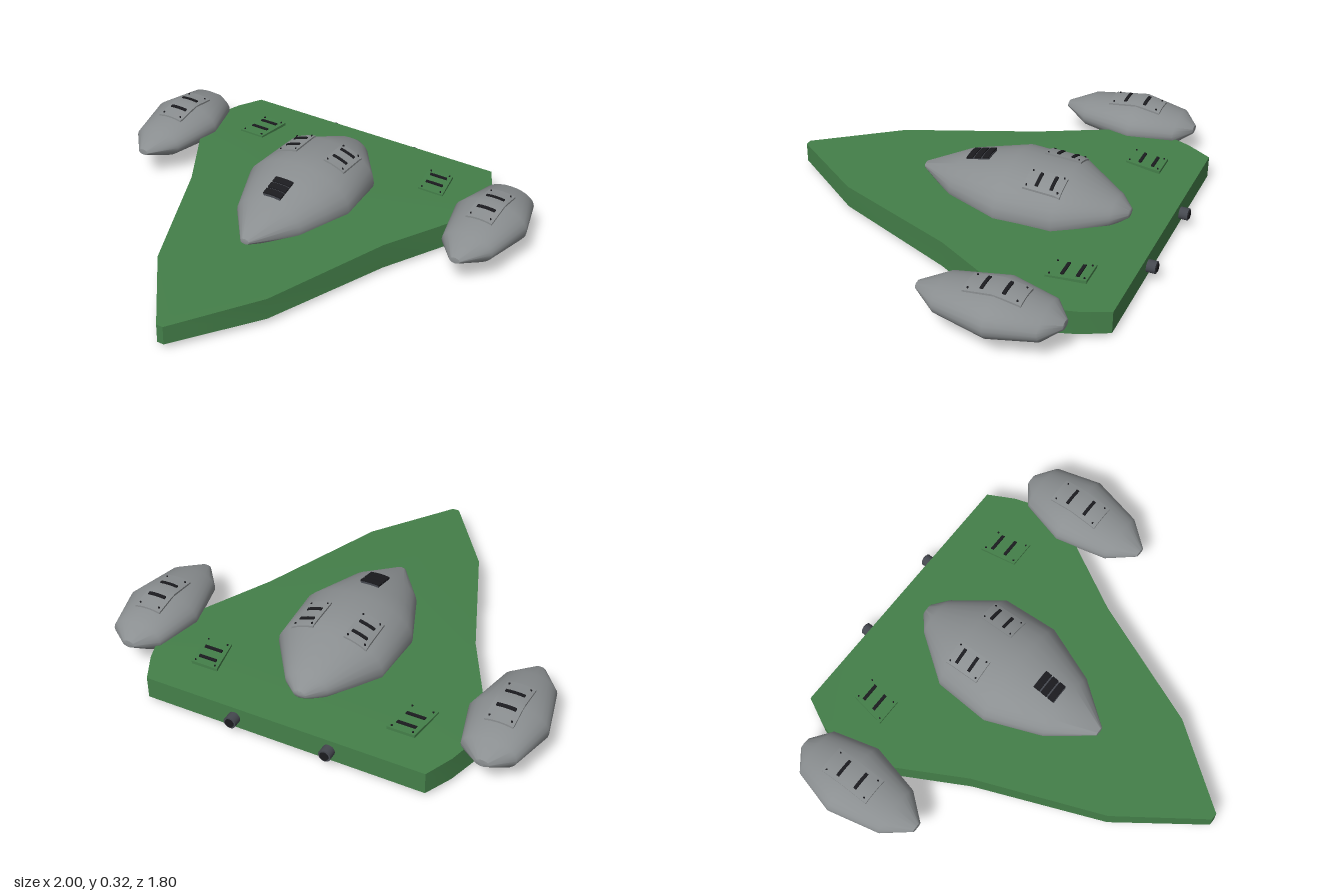
import * as THREE from 'three';
import { toCreasedNormals } from 'three/addons/utils/BufferGeometryUtils.js';

const mat = (name, color) => new THREE.MeshStandardMaterial({ name, color });

// Bodies are flattened lathes lying along z: [radius, z] from tail to nose
const DOME = { cx: 0, cy: 0.16, flat: 0.6,
  profile: [[0, -0.705], [0.03, -0.7], [0.1, -0.64], [0.25, -0.43], [0.265, -0.17], [0.218, -0.05], [0.165, 0.085], [0.022, 0.275], [0, 0.278]] };
const POD = { cx: 0.825, cy: 0.15, flat: 0.56,
  profile: [[0, -0.732], [0.03, -0.73], [0.12, -0.66], [0.175, -0.455], [0.12, -0.215], [0.025, -0.097], [0, -0.095]] };

// Height of a body's upper surface at (x, z)
function bodyTop({ cx, cy, flat, profile }) {
  return (x, z) => {
    const i = Math.max(1, profile.findIndex((p) => p[1] >= z));
    const [r0, z0] = profile[i - 1], [r1, z1] = profile[i];
    const r = r0 + (r1 - r0) * (z - z0) / (z1 - z0);
    return cy + flat * Math.sqrt(Math.max(0, r * r - (x - cx) ** 2));
  };
}

export function createModel() {
  const green = mat('hullGreen', 0x447f49);
  const grey = mat('bodyGrey', 0x8b8f91);
  const dark = mat('ventBlack', 0x1b1b1f);
  const metal = mat('exhaustMetal', 0x45484f);
  const model = new THREE.Group();
  model.name = 'deltaCraft';

  const add = (parent, name, geo, material) => {
    const mesh = new THREE.Mesh(geo, material);
    mesh.name = name;
    parent.add(mesh);
    return mesh;
  };

  // Delta hull: [x, z, top y, bottom y] along one side, nose to tail
  const side = [
    [0.016, 0.9, 0.12, 0.03], [0.28, 0.53, 0.13, 0.026], [0.51, -0.05, 0.14, 0.018],
    [0.77, -0.53, 0.137, 0.018], [0.705, -0.74, 0.131, 0.021], [0.645, -0.86, 0.126, 0.023],
  ];
  const outline = [...side, ...side.map(([x, ...rest]) => [-x, ...rest]).reverse()];
  const verts = [];
  outline.forEach(([x, z, t, b], i) => {
    const [x2, z2, t2, b2] = outline[(i + 1) % outline.length];
    verts.push(0, 0.148, -0.17, x, t, z, x2, t2, z2);
    verts.push(0, 0.011, -0.17, x2, b2, z2, x, b, z);
    verts.push(x, t, z, x, b, z, x2, b2, z2, x, t, z, x2, b2, z2, x2, t2, z2);
  });
  const hull = new THREE.BufferGeometry();
  hull.setAttribute('position', new THREE.Float32BufferAttribute(verts, 3));
  add(model, 'hull', toCreasedNormals(hull, 0.3), green);

  // Central dome and side pods
  const body = (name, { cx, cy, flat, profile }, sign) => {
    const geo = new THREE.LatheGeometry(profile.map((p) => new THREE.Vector2(...p)), 28);
    geo.rotateX(Math.PI / 2).scale(1, flat, 1).translate(cx * sign, cy, 0);
    add(model, name, toCreasedNormals(geo, 0.7), grey);
  };
  body('centralDome', DOME, 1);
  body('leftPod', POD, 1);
  body('rightPod', POD, -1);

  // Hatch panel that follows the surface below, with vent bars and corner bolts
  function panel(name, { x, z, w, l, top, base, shear = 0, bars, barW, barL = 0.014, bolts = true }, sign = 1) {
    const group = new THREE.Group();
    group.name = name;
    const fit = (geo, px, py, pz) => {
      geo.translate(px, py, pz);
      const p = geo.attributes.position;
      for (let i = 0; i < p.count; i++) {
        const vx = x + p.getX(i) + shear * p.getZ(i), vz = z + p.getZ(i);
        p.setXYZ(i, vx, p.getY(i) + top(vx, vz), vz);
      }
      if (sign < 0) {
        // Mirror across the centre line and restore the face order
        geo.scale(-1, 1, 1);
        const a = geo.index.array;
        for (let i = 0; i < a.length; i += 3) [a[i], a[i + 1]] = [a[i + 1], a[i]];
      }
      geo.computeVertexNormals();
      return geo;
    };
    add(group, 'plate', fit(new THREE.BoxGeometry(w, 0.014, l, 6, 1, 6), 0, 0.001, 0), base);
    for (const b of bars) {
      add(group, 'ventBar', fit(new THREE.BoxGeometry(barW, 0.008, barL, 4, 1, 1), 0, 0.01, b), dark);
    }
    if (bolts) {
      for (const sx of [-1, 1]) for (const sz of [-1, 1]) {
        const geo = new THREE.CylinderGeometry(0.004, 0.004, 0.006, 6);
        add(group, 'bolt', fit(geo, sx * w * 0.38, 0.01, sz * l * 0.42), dark);
      }
    }
    model.add(group);
  }

  for (const [label, s] of [['left', 1], ['right', -1]]) {
    panel(label + 'PodHatch', { x: 0.825, z: -0.445, w: 0.125, l: 0.25, top: bodyTop(POD),
      base: grey, bars: [-0.045, 0.05], barW: 0.085 }, s);
    panel(label + 'DomeHatch', { x: 0.125, z: -0.355, w: 0.105, l: 0.17, top: bodyTop(DOME),
      base: grey, bars: [-0.04, 0.028], barW: 0.07 }, s);
    panel(label + 'HullHatch', { x: 0.475, z: -0.615, w: 0.125, l: 0.17, top: () => 0.138,
      base: green, shear: 0.17, bars: [-0.042, 0.022], barW: 0.085 }, s);

    // Exhaust nozzle on the rear edge
    const nozzle = new THREE.CylinderGeometry(0.028, 0.028, 0.045, 16).rotateX(Math.PI / 2);
    add(model, label + 'Exhaust', nozzle, metal).position.set(0.22 * s, 0.075, -0.877);
    const mouth = new THREE.CylinderGeometry(0.02, 0.02, 0.006, 16).rotateX(Math.PI / 2);
    add(model, label + 'ExhaustMouth', mouth, dark).position.set(0.22 * s, 0.075, -0.901);
  }

  // Cockpit window: dark slatted panes on the front of the dome
  panel('cockpitWindow', { x: 0, z: 0, w: 0.085, l: 0.11, top: bodyTop(DOME),
    base: metal, bars: [-0.038, 0, 0.038], barW: 0.092, barL: 0.03, bolts: false });

  return model;
}
